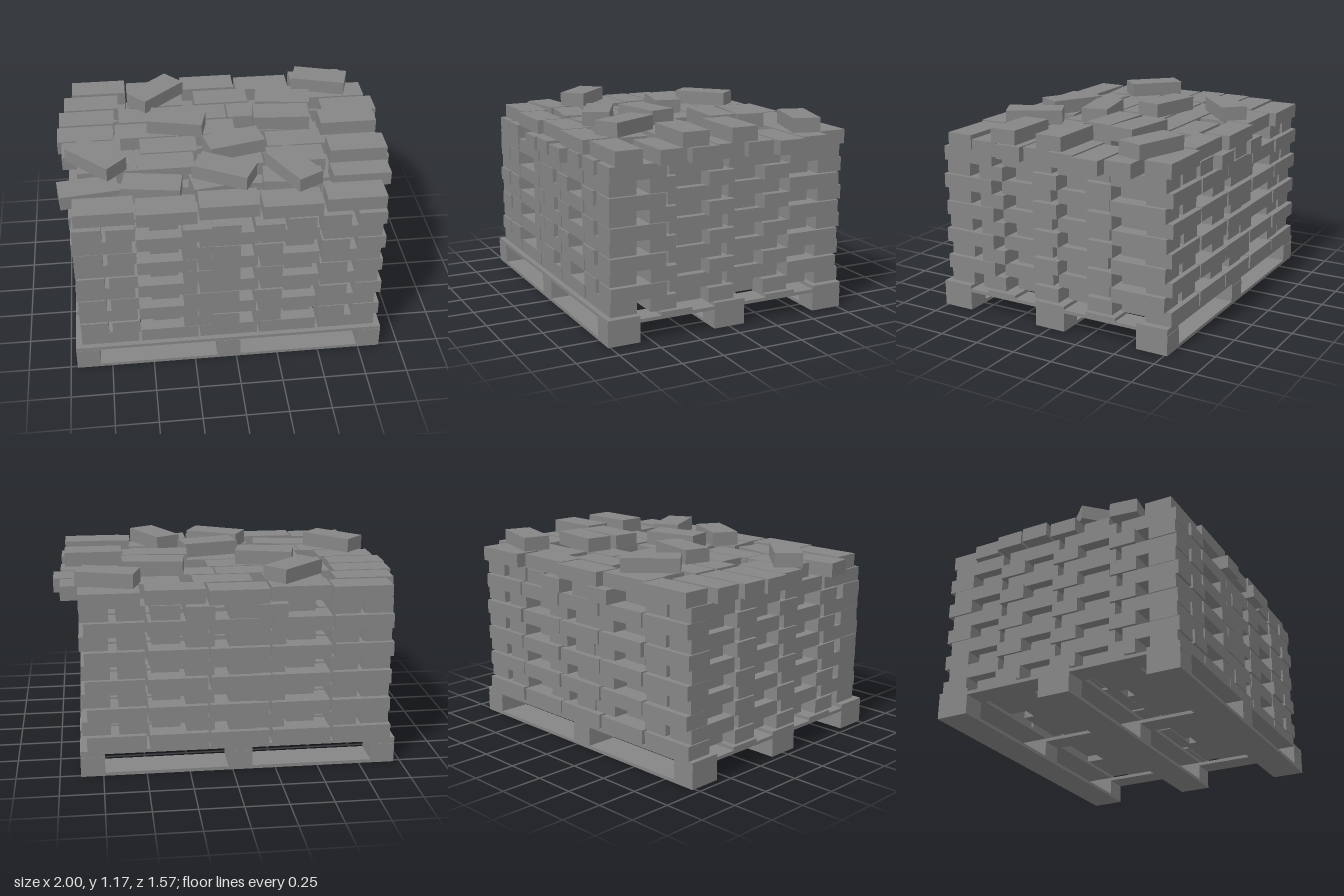
import * as THREE from 'three';

const L = 0.34, W = 0.163, H = 0.0846, DECK = 0.155;
const rad = THREE.MathUtils.degToRad;

export function createModel() {
  const root = new THREE.Group();
  root.name = 'brickPallet';
  const mat = new THREE.MeshStandardMaterial({ color: 0x868686, flatShading: true });

  // small seeded jitter, from -a to a
  let seed = 7;
  const jitter = (a) => {
    seed = (seed * 16807) % 2147483647;
    return (seed / 2147483647 * 2 - 1) * a;
  };

  const group = (name) => {
    const g = new THREE.Group();
    g.name = name;
    root.add(g);
    return g;
  };
  const box = (parent, name, w, h, d, x, y, z, turn = 0) => {
    const m = new THREE.Mesh(new THREE.BoxGeometry(w, h, d), mat);
    m.name = name;
    m.position.set(x, y, z);
    m.rotation.y = rad(turn);
    parent.add(m);
  };

  // wooden pallet: runners, blocks, cross boards and deck boards
  const pallet = group('pallet');
  const px = [-0.89, -0.045, 0.81], pz = [-0.67, 0, 0.665];
  for (const z of pz) {
    box(pallet, 'runner', 1.84, 0.02, 0.195, -0.04, 0.01, z);
    for (const x of px) box(pallet, 'block', 0.14, 0.097, 0.195, x, 0.0675, z);
  }
  for (const x of px) box(pallet, 'crossBoard', 0.14, 0.02, 1.53, x, 0.125, 0);
  for (const z of [...pz, -0.34, 0.34]) box(pallet, 'deckBoard', 1.84, 0.02, 0.195, -0.04, 0.145, z);

  const brick = (parent, x, layer, z, turn = 0) =>
    box(parent, 'brick', L, H, W, x, DECK + (layer + 0.5) * H, z, turn);

  // ten stacked courses, alternating direction: centre of each row, brick count and spacing
  const rows = [
    [-0.69, 5, 0.355], [-0.5, 4, 0.43], [-0.32, 5, 0.362], [-0.14, 4, 0.43],
    [0.04, 5, 0.362], [0.21, 4, 0.43], [0.41, 5, 0.362], [0.65, 5, 0.355],
  ];
  // columns also give their spacing in the highest course, where some stick out
  const columns = [
    [-0.84, 4, 0.38, 0.38], [-0.65, 4, 0.38, 0.38], [-0.41, 3, 0.49, 0.49],
    [-0.225, 4, 0.377, 0.41], [-0.06, 4, 0.377, 0.395], [0.185, 4, 0.377, 0.41],
    [0.375, 3, 0.49, 0.57], [0.57, 4, 0.38, 0.38], [0.78, 4, 0.38, 0.38],
  ];
  for (let layer = 0; layer < 10; layer++) {
    const course = group('course');
    const along = layer % 2 === 0;
    for (const [across, n, pitch, topPitch] of along ? rows : columns) {
      const step = layer === 9 ? topPitch : pitch;
      for (let i = 0; i < n; i++) {
        const t = (i - (n - 1) / 2) * step + jitter(0.006);
        // inner bricks sit slightly aside of the outer ones, closing the gaps
        const inner = i > 0 && i < n - 1;
        const s = across + jitter(0.003);
        if (along) brick(course, t - 0.045, layer, s + (inner && Math.abs(across) < 0.6 ? 0.05 : 0));
        else brick(course, s - (inner && Math.abs(across) < 0.8 ? 0.05 : 0), layer, t, 90);
      }
    }
  }

  // uneven upper course: row depth, then brick centres along x
  const upper = group('upperCourse');
  const upperRows = [
    [-0.50, [-0.79, -0.38, 0.035, 0.45, 0.79]],
    [-0.32, [-0.82, -0.45, -0.12, 0.23, 0.83]],
    [-0.14, [-0.83, -0.45, -0.085, 0.38, 0.79]],
    [0.035, [-0.80, -0.335, 0.055, 0.43, 0.765]],
    [0.21, [-0.71, -0.365, 0.04, 0.41, 0.79]],
  ];
  for (const [z, xs] of upperRows) for (const x of xs) brick(upper, x, 10, z);
  [-0.74, -0.39, -0.035, 0.32, 0.69].forEach((x, i) => {
    brick(upper, x, 10, i % 2 ? 0.65 : 0.62);
    brick(upper, x, 10, i % 2 ? -0.65 : -0.69);
  });
  for (const [x, z, turn] of [
    [-0.82, 0.42, 7], [-0.455, 0.415, -9], [-0.06, 0.42, 8], [0.36, 0.42, -6], [0.765, 0.39, 0],
  ]) brick(upper, x, 10, z, turn);

  // loose bricks thrown on top: x, z, turn
  const loose = group('looseBricks');
  for (const [x, z, turn] of [
    [-0.38, -0.51, 42], [0.69, -0.56, -17], [0.41, -0.325, -8], [-0.27, -0.145, -14],
    [0.375, -0.145, -4], [0.765, -0.05, 0], [0.05, 0.13, 13], [-0.77, 0.21, -45],
    [-0.035, 0.41, -28], [0.365, 0.42, -62], [0.765, 0.255, 0],
  ]) brick(loose, x, 11, z, turn);

  return root;
}
